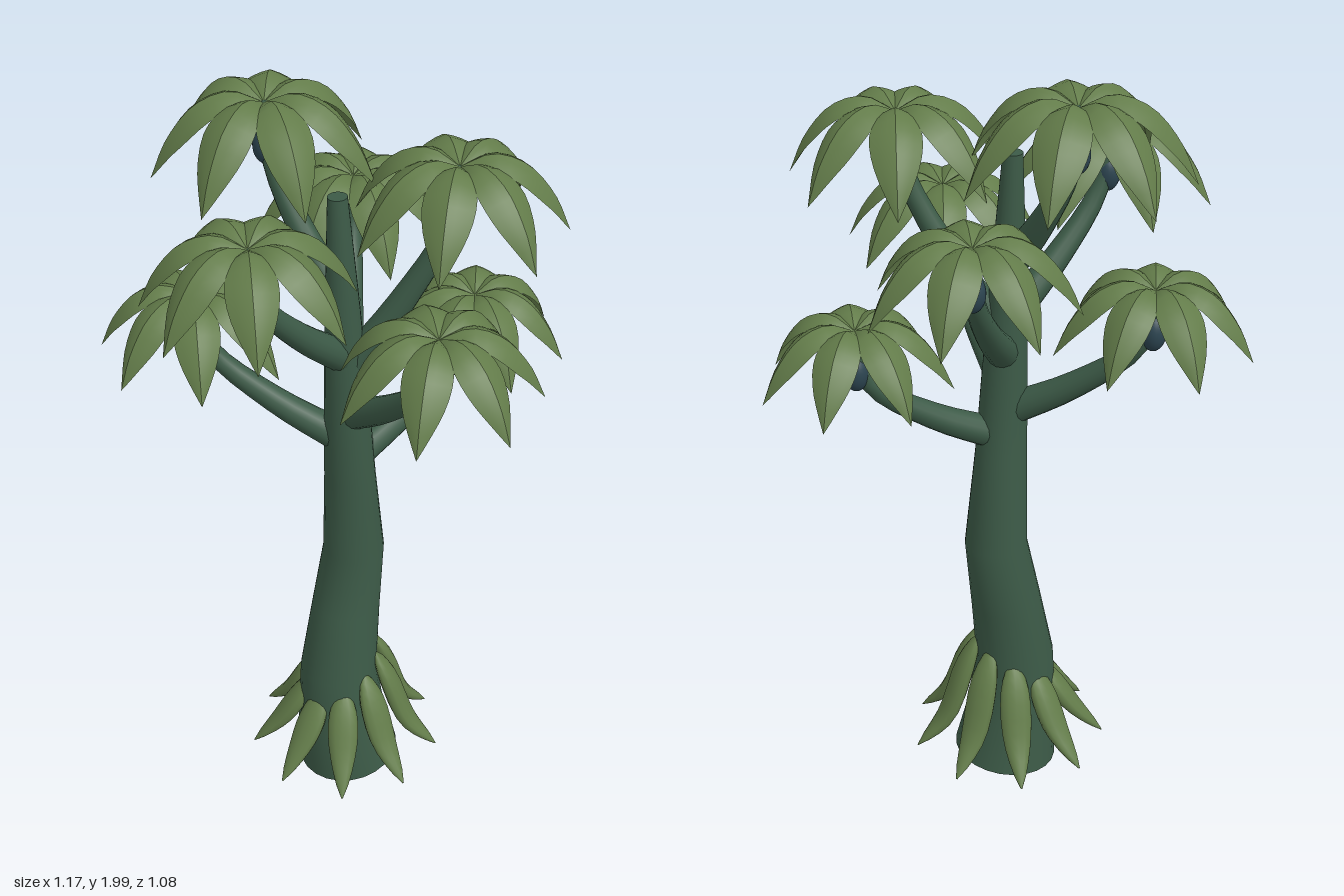
import * as THREE from 'three';

const V = (x, y, z) => new THREE.Vector3(x, y, z);
const bark = new THREE.MeshStandardMaterial({ name: 'bark green', color: 0x3c5a47 });
const leaf = new THREE.MeshStandardMaterial({ name: 'leaf green', color: 0x637c4a, side: THREE.DoubleSide });
const fruitSkin = new THREE.MeshStandardMaterial({ name: 'fruit blue', color: 0x2c4450 });

// Closed skin over elliptical sections [point, halfWidth, halfDepth], with sharp flat caps
function loft(sections, sideRef, seg) {
  const n = sections.length, rings = [];
  sections.forEach(([p, a, b], i) => {
    const t = sections[Math.min(i + 1, n - 1)][0].clone().sub(sections[Math.max(i - 1, 0)][0]).normalize();
    const side = sideRef.clone().addScaledVector(t, -sideRef.dot(t)).normalize();
    const up = t.clone().cross(side);
    const ring = [];
    for (let j = 0; j < seg; j++) {
      const q = j / seg * Math.PI * 2;
      ring.push(p.clone().addScaledVector(side, a * Math.cos(q)).addScaledVector(up, b * Math.sin(q)));
    }
    rings.push(ring);
  });
  const point = (i) => rings[i].map(() => sections[i][0]);
  const all = [point(0), rings[0], ...rings, rings[n - 1], point(n - 1)];
  const pos = all.flat().flatMap((v) => v.toArray()), idx = [];
  for (let i = 0; i < all.length - 1; i++) {
    if (i === 1 || i === all.length - 3) continue;
    for (let j = 0; j < seg; j++) {
      const k = (j + 1) % seg, a = i * seg, b = a + seg;
      idx.push(a + j, a + k, b + j, a + k, b + k, b + j);
    }
  }
  return finish(pos, idx);
}

function finish(pos, idx) {
  const g = new THREE.BufferGeometry();
  g.setAttribute('position', new THREE.Float32BufferAttribute(pos, 3));
  g.setIndex(idx);
  g.computeVertexNormals();
  return g;
}

// Drooping leaf along +x, two curved halves meeting in a crease at the midrib
function leafGeometry() {
  const curve = new THREE.CatmullRomCurve3([
    V(0, -0.03, 0), V(0.07, 0, 0), V(0.145, -0.025, 0), V(0.21, -0.1, 0), V(0.25, -0.19, 0)]);
  const rows = 12, cols = 3, pos = [], idx = [];
  for (const s of [1, -1]) {
    const base = pos.length / 3;
    for (let i = 0; i <= rows; i++) {
      const t = i / rows, p = curve.getPointAt(t), d = curve.getTangentAt(t);
      const w = 0.004 * (1 - t) + 0.056 * Math.sin(Math.PI * Math.pow(t, 0.95));
      for (let j = 0; j <= cols; j++) {
        const u = j / cols, drop = w * (0.25 * u + 0.2 * u * u);
        pos.push(p.x + d.y * drop, p.y - d.x * drop, s * u * w);
      }
    }
    for (let i = 0; i < rows; i++) for (let j = 0; j < cols; j++) {
      const a = base + i * (cols + 1) + j, b = a + cols + 1;
      if (s > 0) idx.push(a, a + 1, b, a + 1, b + 1, b);
      else idx.push(a, b, a + 1, a + 1, b, b + 1);
    }
  }
  return finish(pos, idx);
}

export function createModel() {
  const model = new THREE.Group();
  model.name = 'tree';
  const add = (parent, geo, mat, name) => {
    const m = new THREE.Mesh(geo, mat);
    m.name = name;
    parent.add(m);
    return m;
  };

  // Bent, tapering trunk: x, y, z, radius
  const trunk = [
    [-0.047, 0.024, -0.045, 0.14], [-0.066, 0.17, -0.047, 0.122], [-0.07, 0.35, -0.052, 0.105],
    [-0.037, 0.55, -0.062, 0.092], [-0.005, 0.74, -0.07, 0.081], [-0.025, 1.0, -0.055, 0.066],
    [-0.035, 1.2, -0.05, 0.058], [-0.042, 1.5, -0.055, 0.043], [-0.046, 1.8, -0.065, 0.024]];
  add(model, loft(trunk.map(([x, y, z, r]) => [V(x, y, z), r, r]), V(1, 0, 0), 24), bark, 'trunk');

  // Branches, each with a fruit and a crown: x, top y, z, leaf length, leaf phase, joint y
  const heads = [
    [0.35, 1.435, -0.045, 0.235, 0, 1.04], [-0.31, 1.53, -0.3, 0.242, 14.6, 1.11],
    [-0.012, 1.62, 0.292, 0.248, 34, 1.19], [0.155, 1.72, -0.3, 0.25, 0, 1.27],
    [-0.33, 1.82, 0.005, 0.257, 14.6, 1.36], [0.182, 1.91, 0.095, 0.262, 33, 1.32],
    [-0.107, 2.0, -0.276, 0.272, 0, 1.5]];
  const leafGeo = leafGeometry();
  const fruitGeo = new THREE.SphereGeometry(1, 20, 14).scale(0.031, 0.047, 0.031);
  heads.forEach(([x, y, z, len, phase, jointY]) => {
    const start = V(-0.035, jointY, -0.052), s = len / 0.25;
    const curve = new THREE.CatmullRomCurve3([
      start, start.clone().lerp(V(x, y - 0.17, z), 0.5).add(V(0, -0.015, 0)),
      V(x, y - 0.15, z).lerp(start, 0.08), V(x, y - 0.03, z)]);
    const sections = [];
    for (let i = 0; i <= 12; i++) {
      const r = 0.043 - 0.03 * i / 12;
      sections.push([curve.getPoint(i / 12), r, r]);
    }
    const across = V(z - start.z, 0, start.x - x).normalize();
    add(model, loft(sections, across, 14), bark, 'branch');
    add(model, fruitGeo, fruitSkin, 'fruit').position.set(x, y - 0.14, z);

    const crown = new THREE.Group();
    crown.name = 'leafCrown';
    crown.position.set(x, y, z);
    crown.scale.setScalar(s);
    for (let k = 0; k < 7; k++) {
      add(crown, leafGeo, leaf, 'crownLeaf').rotation.y = -(phase * Math.PI / 180 + k * Math.PI * 2 / 7);
    }
    model.add(crown);
  });

  // Thick pointed leaves flaring out around the trunk foot
  for (let k = 0; k < 9; k++) {
    const q = k * Math.PI * 2 / 9 + 0.1, c = Math.cos(q), s = Math.sin(q);
    const top = 0.37 + 0.055 * c;
    const at = (r, y) => V(-0.055 + r * c, y, -0.045 + r * s);
    const path = new THREE.CatmullRomCurve3([
      at(0.085, top), at(0.125, top * 0.72 + 0.02), at(0.18, 0.17), at(0.262, 0.082)]);
    const sections = [];
    for (let i = 0; i <= 10; i++) {
      const t = i / 10, w = 0.002 + 0.04 * Math.pow(Math.sin(Math.PI * Math.pow(t, 0.9)), 0.8);
      sections.push([path.getPoint(t), w, w * 0.6]);
    }
    add(model, loft(sections, V(-s, 0, c), 12), leaf, 'footLeaf');
  }
  return model;
}
